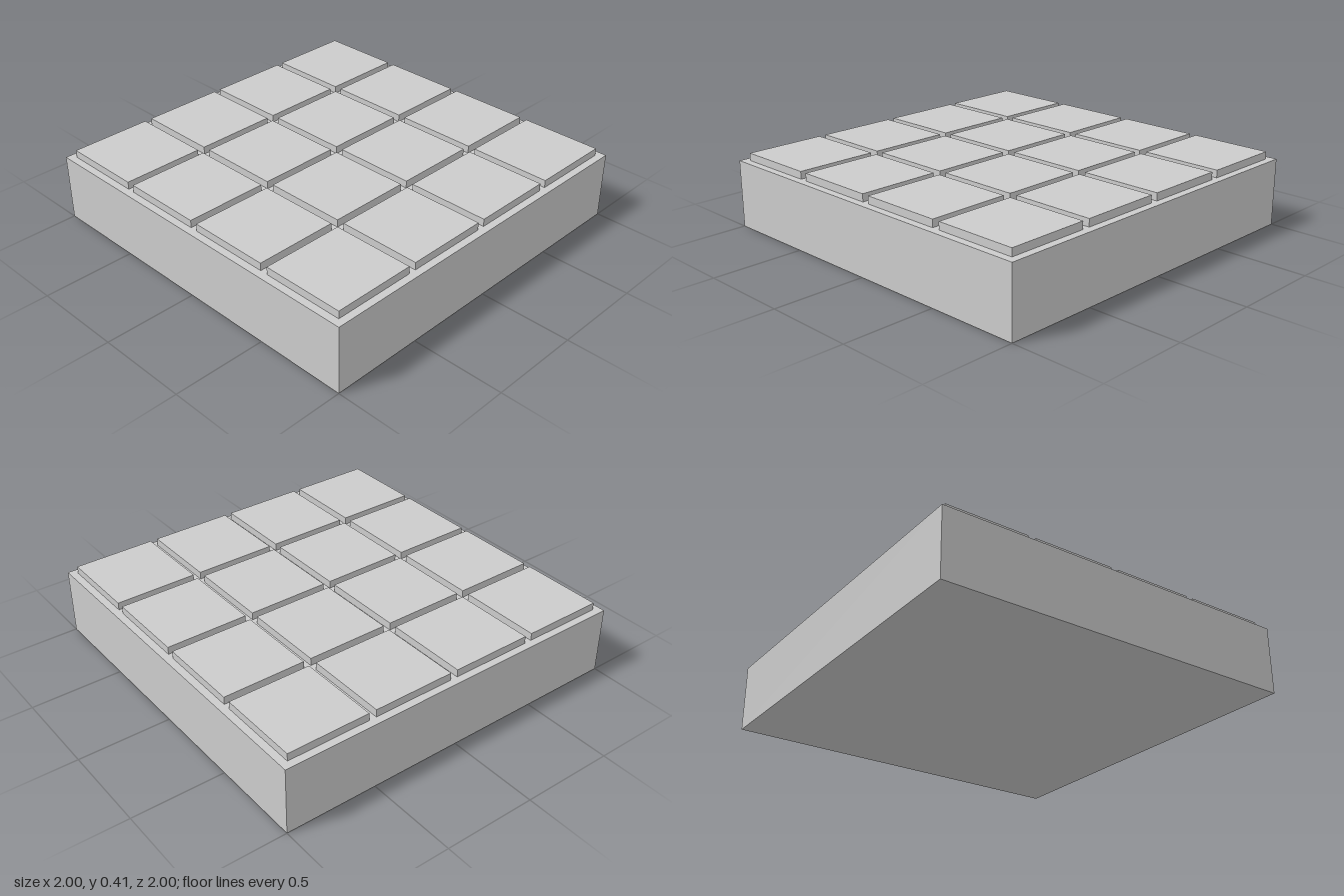
import * as THREE from 'three';

export function createModel() {
  const model = new THREE.Group();
  model.name = 'tiledSlab';
  const material = new THREE.MeshStandardMaterial({ color: 0xcccccc, flatShading: true });

  const baseHeight = 0.367;
  const tileHeight = 0.041;
  const tileSize = 0.449;
  const pitch = 0.49;
  const count = 4;

  // Solid square base
  const base = new THREE.Mesh(new THREE.BoxGeometry(2, baseHeight, 2), material);
  base.name = 'base';
  base.position.y = baseHeight / 2;
  model.add(base);

  // Grid of raised square tiles, separated by narrow grooves
  const tiles = new THREE.Group();
  tiles.name = 'tiles';
  const tileGeometry = new THREE.BoxGeometry(tileSize, tileHeight, tileSize);
  const offset = (count - 1) / 2;
  for (let row = 0; row < count; row++) {
    for (let column = 0; column < count; column++) {
      const tile = new THREE.Mesh(tileGeometry, material);
      tile.name = `tileRow${row + 1}Column${column + 1}`;
      tile.position.set((column - offset) * pitch, baseHeight + tileHeight / 2, (row - offset) * pitch);
      tiles.add(tile);
    }
  }
  model.add(tiles);

  return model;
}
